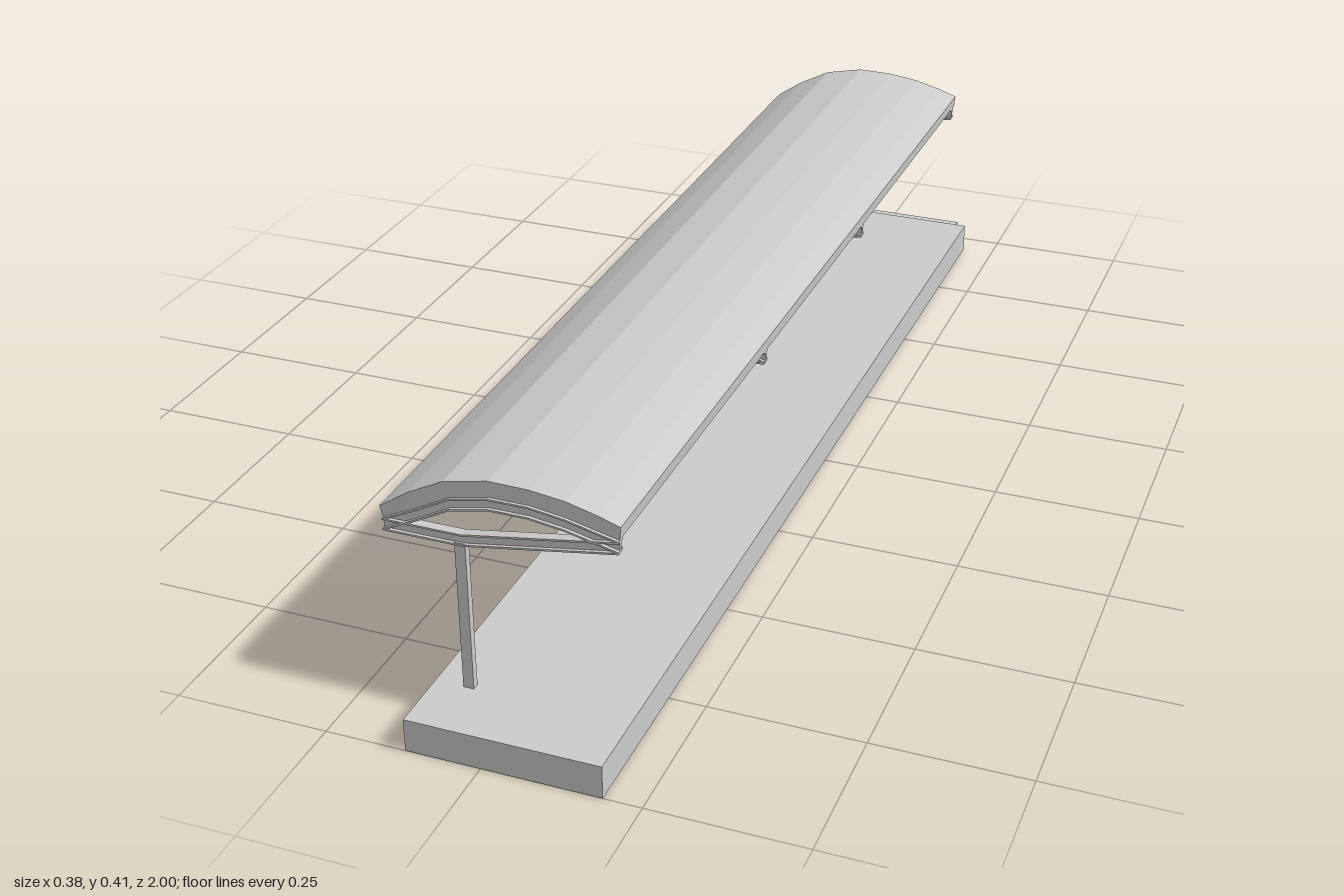
import * as THREE from 'three';

const material = new THREE.MeshStandardMaterial({ color: 0xcccccc, flatShading: true });

function box(name, [x0, x1], [y0, y1], [z0, z1]) {
  const mesh = new THREE.Mesh(new THREE.BoxGeometry(x1 - x0, y1 - y0, z1 - z0), material);
  mesh.name = name;
  mesh.position.set((x0 + x1) / 2, (y0 + y1) / 2, (z0 + z1) / 2);
  return mesh;
}

// Closed x/y outline extruded along z from z0 to z1
function slab(name, outline, z0, z1) {
  const shape = new THREE.Shape(outline.map(([x, y]) => new THREE.Vector2(x, y)));
  const geometry = new THREE.ExtrudeGeometry(shape, { depth: z1 - z0, bevelEnabled: false });
  geometry.translate(0, 0, z0);
  const mesh = new THREE.Mesh(geometry, material);
  mesh.name = name;
  return mesh;
}

// Strip of constant height hanging from a polyline
function strip(name, path, top, height, z, depth) {
  const upper = path.map(([x, y]) => [x, y - top]);
  const lower = path.map(([x, y]) => [x, y - top - height]).reverse();
  return slab(name, [...upper, ...lower], z - depth / 2, z + depth / 2);
}

// I-section beam following a polyline
function beam(name, path, z) {
  const group = new THREE.Group();
  group.name = name;
  group.add(
    strip('web', path, 0.002, 0.016, z, 0.005),
    strip('topFlange', path, 0, 0.003, z, 0.016),
    strip('bottomFlange', path, 0.017, 0.003, z, 0.016),
  );
  return group;
}

const roofTop = [[-0.192, 0.338], [-0.145, 0.37], [-0.088, 0.4], [-0.018, 0.415],
  [0.045, 0.414], [0.1, 0.407], [0.15, 0.394], [0.182, 0.383]];
const roofUnder = [[0.18, 0.362], [0.1, 0.381], [0.045, 0.389], [-0.018, 0.389],
  [-0.078, 0.376], [-0.135, 0.346], [-0.187, 0.321]];
const archPath = [...roofUnder].reverse();
const chordPath = [[-0.183, 0.321], [-0.062, 0.321], [0.18, 0.361]];

export function createModel() {
  const model = new THREE.Group();
  model.name = 'platformShelter';

  model.add(box('platform', [-0.12, 0.19], [0, 0.055], [-0.945, 1]));

  // Two steps with overhanging treads at the back end
  const steps = new THREE.Group();
  steps.name = 'steps';
  const sx = [-0.095, 0.165];
  steps.add(
    box('lowerRiser', sx, [0, 0.012], [-0.99, -0.94]),
    box('lowerTread', sx, [0.012, 0.024], [-1, -0.94]),
    box('upperRiser', sx, [0.024, 0.036], [-0.965, -0.94]),
    box('upperTread', sx, [0.036, 0.045], [-0.98, -0.94]),
  );
  model.add(steps);

  model.add(slab('roof', [...roofTop, ...roofUnder], -0.84, 0.895));

  // Column and roof truss at each support
  [0.892, 0.295, -0.222, -0.826].forEach((z, i) => {
    const depth = i % 3 === 0 ? 0.012 : 0.007;
    const support = new THREE.Group();
    support.name = 'support' + (i + 1);
    support.add(
      box('column', [-0.074, -0.057], [0.05, 0.305], [z - depth / 2, z + depth / 2]),
      beam('arch', archPath, z),
      beam('lowerChord', chordPath, z),
    );
    model.add(support);
  });

  // Purlins under the roof
  for (const [x, y] of [[-0.11, 0.358], [0.095, 0.381]]) {
    model.add(box('purlin', [x - 0.006, x + 0.006], [y - 0.008, y + 0.006], [-0.65, 0.88]));
  }
  return model;
}
